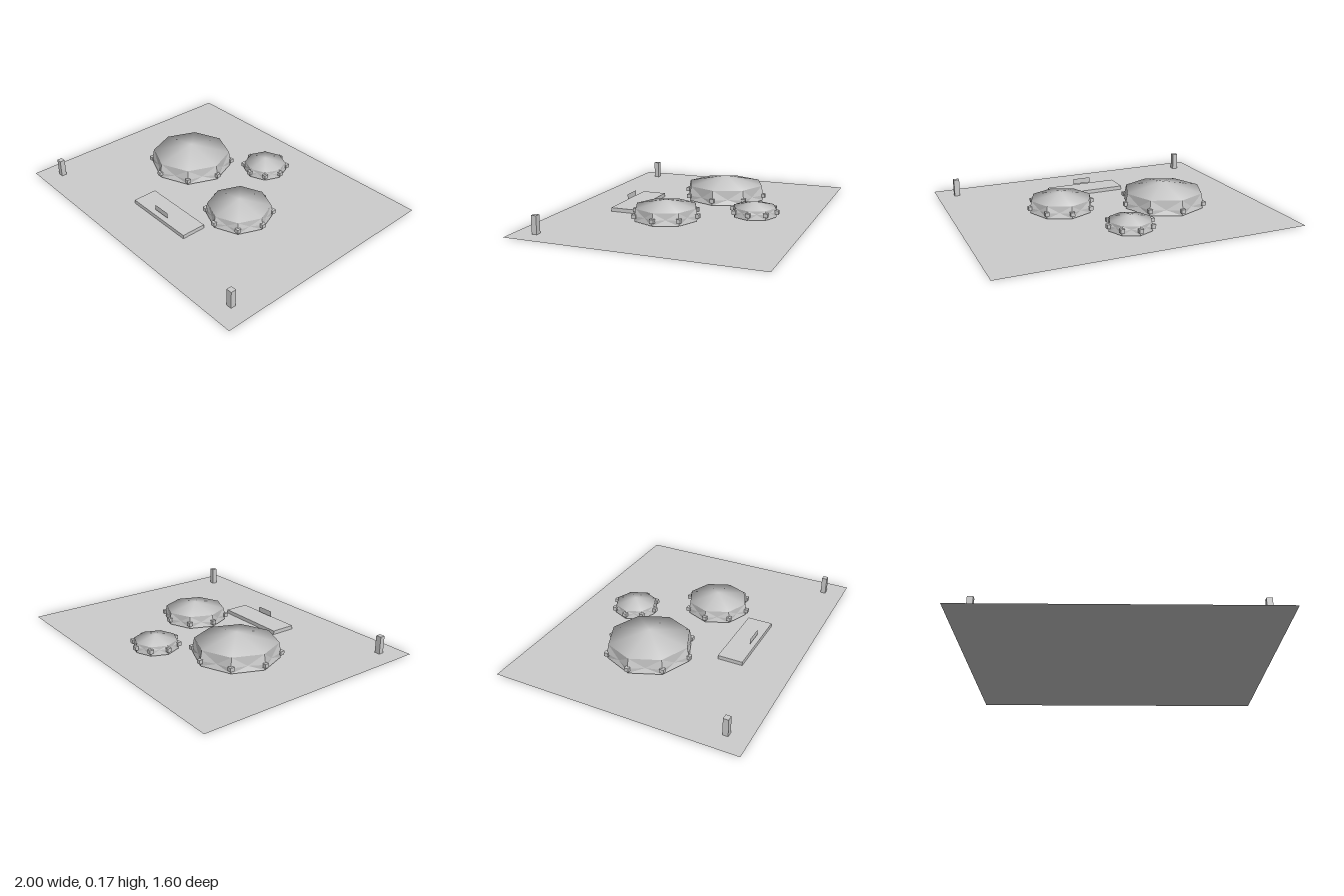
import * as THREE from 'three';

const stone = new THREE.MeshStandardMaterial({ color: 0xcccccc, side: THREE.DoubleSide });
stone.name = 'light grey';

function add(parent, name, geometry, x = 0, y = 0, z = 0) {
  const mesh = new THREE.Mesh(geometry, stone);
  mesh.name = name;
  mesh.position.set(x, y, z);
  parent.add(mesh);
  return mesh;
}

// Shallow eight-sided roof with rounded normals
function roofGeometry(radius, height) {
  const g = new THREE.ConeGeometry(radius, height, 8, 1, true);
  const p = g.attributes.position;
  const n = new THREE.Vector3();
  for (let i = 0; i < p.count; i++) {
    n.set(p.getX(i) / radius, 0.45, p.getZ(i) / radius).normalize();
    g.attributes.normal.setXYZ(i, n.x, n.y, n.z);
  }
  return g;
}

// Folded wall: the middle of each bay is pressed in between the corners
function wallGeometry(radius, rimRadius, rimY) {
  const at = (step, r, y) => {
    const a = step * Math.PI / 8;
    return [r * Math.sin(a), y, r * Math.cos(a)];
  };
  const points = [];
  for (let i = 0; i < 16; i += 2) {
    const a = at(i, rimRadius, rimY), b = at(i + 2, rimRadius, rimY);
    const c = at(i, radius, 0.045), d = at(i + 2, radius, 0.045);
    const e = at(i, radius * 0.99, 0.01), f = at(i + 2, radius * 0.99, 0.01);
    const m = at(i + 1, radius * 0.875, 0.045);
    for (const [u, v] of [[b, a], [a, c], [c, e], [e, f], [f, d], [d, b]]) {
      points.push(...m, ...u, ...v);
    }
  }
  const g = new THREE.BufferGeometry();
  g.setAttribute('position', new THREE.Float32BufferAttribute(points, 3));
  g.computeVertexNormals();
  return g;
}

function dome(name, x, z, radius, rimY, topY) {
  const group = new THREE.Group();
  group.name = name;
  group.position.set(x, 0, z);
  const rim = radius * 0.955;
  add(group, 'roof', roofGeometry(rim, topY - rimY), 0, (topY + rimY) / 2, 0);
  add(group, 'wall', wallGeometry(radius, rim, rimY));
  // Corner blocks
  const block = new THREE.BoxGeometry(0.028, 0.026, 0.028);
  for (let i = 0; i < 8; i++) {
    const a = i * Math.PI / 4;
    add(group, 'cornerBlock', block, radius * Math.sin(a), 0.043, radius * Math.cos(a));
  }
  return group;
}

export function createModel() {
  const model = new THREE.Group();
  model.name = 'domeCamp';

  // Ground sheet
  add(model, 'ground', new THREE.PlaneGeometry(2, 1.6).rotateX(-Math.PI / 2));

  // Three domes
  model.add(dome('largeDome', -0.37, -0.09, 0.277, 0.11, 0.165));
  model.add(dome('mediumDome', 0.3, 0.075, 0.212, 0.09, 0.13));
  model.add(dome('smallDome', 0.03, -0.425, 0.146, 0.068, 0.1));

  // Low platform with an upright panel
  add(model, 'platform', new THREE.BoxGeometry(0.5, 0.025, 0.165), 0, 0.0125, 0.41);
  add(model, 'panel', new THREE.PlaneGeometry(0.125, 0.037), 0, 0.056, 0.465);

  // Corner posts
  for (const side of [-1, 1]) {
    add(model, 'post', new THREE.BoxGeometry(0.037, 0.115, 0.034), side * 0.866, 0.0575, 0.663);
  }
  return model;
}
